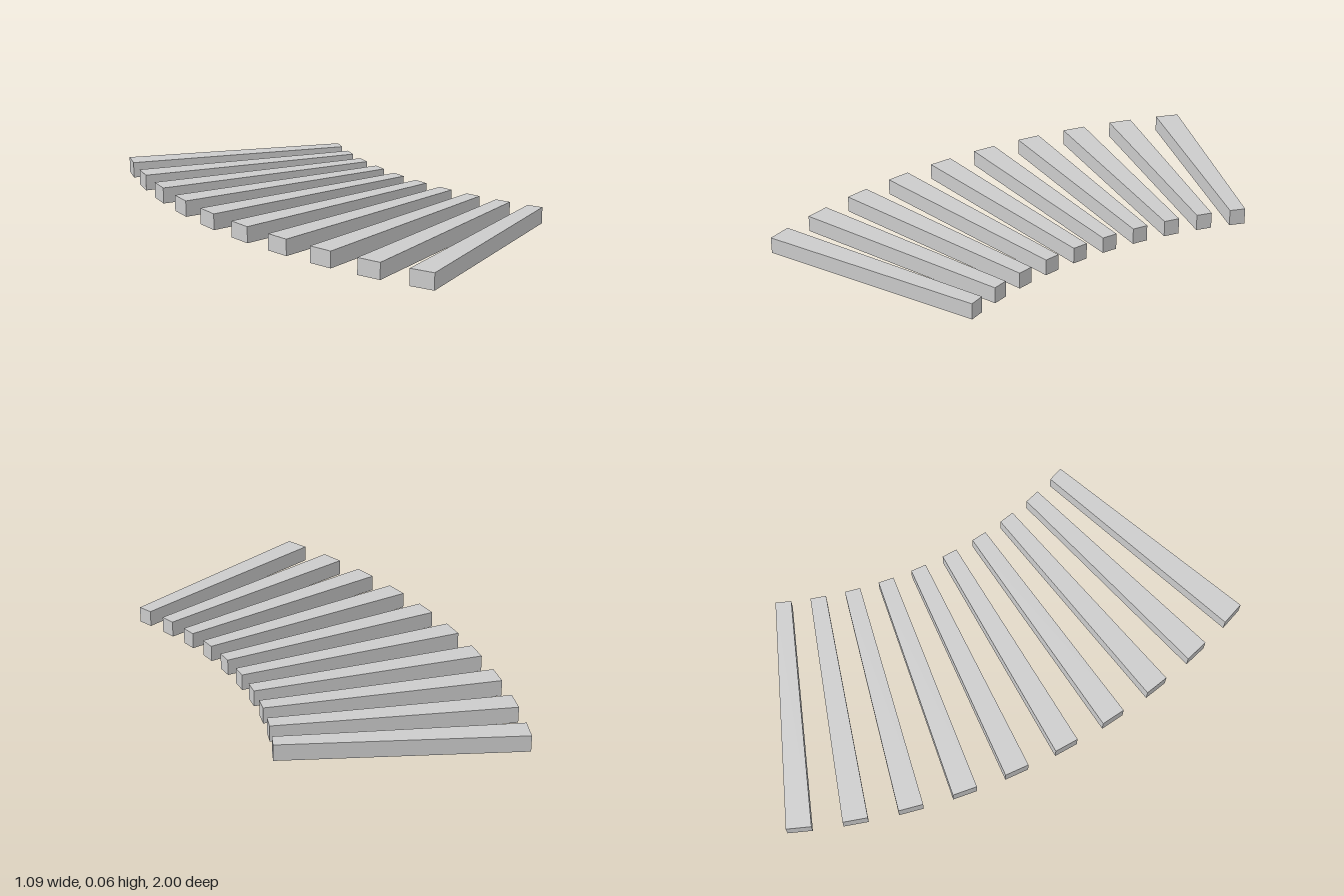
import * as THREE from 'three';

const PIVOT_X = 2.07, PIVOT_Z = -0.102;   // centre of the fan
const R_OUTER = 2.615, R_INNER = 1.685;   // radial span of each bar
const W_OUTER = 0.098, W_INNER = 0.063;   // bars taper towards the pivot
const HEIGHT = 0.065;
const STEP = THREE.MathUtils.degToRad(4.765);

// Tapered bar lying on the ground, pointing away from the pivot along -x
function barGeometry() {
  const shape = new THREE.Shape([
    new THREE.Vector2(-R_OUTER, -W_OUTER / 2),
    new THREE.Vector2(-R_INNER, -W_INNER / 2),
    new THREE.Vector2(-R_INNER, W_INNER / 2),
    new THREE.Vector2(-R_OUTER, W_OUTER / 2),
  ]);
  return new THREE.ExtrudeGeometry(shape, { depth: HEIGHT, bevelEnabled: false })
    .rotateX(-Math.PI / 2);
}

export function createModel() {
  const group = new THREE.Group();
  group.name = 'fannedBars';
  const material = new THREE.MeshStandardMaterial({ color: 0xcccccc, flatShading: true });
  const geometry = barGeometry();

  // Ten bars fanned around the pivot, four behind the straight one and five in front
  for (let i = -4; i <= 5; i++) {
    const bar = new THREE.Mesh(geometry, material);
    bar.name = `bar${i + 5}`;
    bar.position.set(PIVOT_X, 0, PIVOT_Z);
    bar.rotation.y = i * STEP;
    group.add(bar);
  }
  return group;
}
